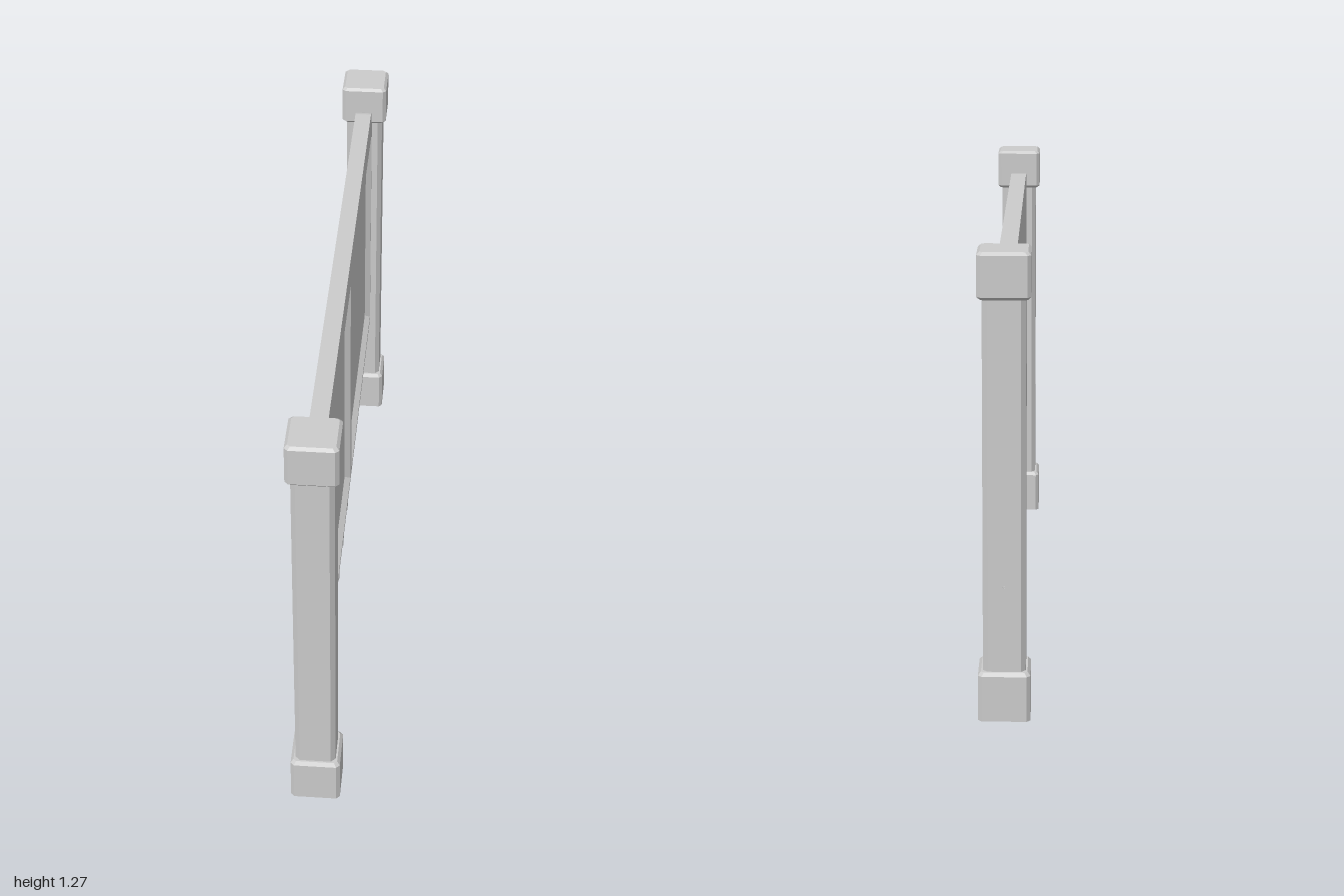
import * as THREE from 'three';

const material = new THREE.MeshStandardMaterial({ color: 0xcccccc, flatShading: true, side: THREE.DoubleSide });

function addMesh(parent, geometry, name) {
  const mesh = new THREE.Mesh(geometry, material);
  mesh.name = name;
  parent.add(mesh);
  return mesh;
}

// Skin a list of equal-length point rings, optionally closing the last and first ring
function loft(rings, capEnd = false, capStart = false) {
  const n = rings[0].length, index = [];
  for (let r = 0; r < rings.length - 1; r++) {
    for (let i = 0; i < n; i++) {
      const a = r * n + i, b = r * n + (i + 1) % n;
      index.push(a, a + n, b, b, a + n, b + n);
    }
  }
  const last = (rings.length - 1) * n;
  for (let i = 1; i < n - 1; i++) {
    if (capEnd) index.push(last, last + i + 1, last + i);
    if (capStart) index.push(0, i, i + 1);
  }
  const geometry = new THREE.BufferGeometry();
  geometry.setAttribute('position', new THREE.Float32BufferAttribute(rings.flat(2), 3));
  geometry.setIndex(index);
  const flat = geometry.toNonIndexed();
  flat.computeVertexNormals();
  return flat;
}

// Square ring with chamfered corners at height y
function ring(h, c, y) {
  const k = h - c;
  return [[h, -k], [h, k], [k, h], [-k, h], [-h, k], [-h, -k], [-k, -h], [k, -h]].map(([x, z]) => [x, y, z]);
}

// Rectangle outline in the panel's own plane
function rect(u0, u1, y0, y1, w) {
  return [[u0, y0, w], [u1, y0, w], [u1, y1, w], [u0, y1, w]];
}

function makePost(z) {
  const post = new THREE.Group();
  post.name = 'post';
  post.position.z = z;
  addMesh(post, loft([ring(0.057, 0.013, 0.1), ring(0.057, 0.013, 1.18)]), 'postShaft');
  addMesh(post, loft([ring(0.07, 0.01, 0), ring(0.07, 0.01, 0.127), ring(0.062, 0.008, 0.137)], true), 'postBase');
  addMesh(post, loft([ring(0.062, 0.008, 1.146), ring(0.07, 0.01, 1.154), ring(0.07, 0.01, 1.262),
    ring(0.062, 0.008, 1.27)], true, true), 'postCap');
  return post;
}

// Board outline with rounded top corners
function boardShape() {
  const h = 0.876, bottom = 0.37, top = 1.2, r = 0.055;
  const s = new THREE.Shape();
  s.moveTo(-h, bottom);
  s.lineTo(h, bottom);
  s.lineTo(h, top - r);
  s.absarc(h - r, top - r, r, 0, Math.PI / 2, false);
  s.lineTo(-h + r, top);
  s.absarc(-h + r, top - r, r, Math.PI / 2, Math.PI, false);
  s.closePath();
  return s;
}

function makeBoard() {
  const board = new THREE.Group();
  board.name = 'board';
  board.rotation.y = Math.PI / 2;
  const options = { bevelEnabled: false, curveSegments: 8 };
  const floor = 0.008, face = 0.025;
  const back = new THREE.ExtrudeGeometry(boardShape(), { ...options, depth: 0.025 + floor });
  addMesh(board, back.translate(0, 0, -0.025), 'backPanel');

  // Raised frame with two recesses whose edges slope inward
  const frame = boardShape();
  for (const [u0, u1] of [[-0.864, -0.021], [0.024, 0.864]]) {
    const y0 = 0.385, y1 = 1.105, inset = 0.012;
    const hole = rect(u0, u1, y0, y1, 0).map(([u, y]) => new THREE.Vector2(u, y));
    frame.holes.push(new THREE.Path(hole));
    addMesh(board, loft([
      rect(u0, u1, y0, y1, face),
      rect(u0 + inset, u1 - inset, y0 + inset, y1 - inset, floor),
    ]), 'recessEdge');
  }
  const front = new THREE.ExtrudeGeometry(frame, { ...options, depth: face - floor });
  addMesh(board, front.translate(0, 0, floor), 'frontFrame');
  return board;
}

function makeBunting() {
  const bunting = new THREE.Group();
  bunting.name = 'bunting';

  // Sagging cord, its far end just passing through the post
  const sag = z => 0.2 + 0.2 * z * z;
  const points = [];
  for (let i = 0; i <= 12; i++) {
    const z = 0.9 - i * 0.15;
    points.push(new THREE.Vector3(0, sag(z), z));
  }
  points.push(new THREE.Vector3(0, 0.375, -0.99));
  const cord = new THREE.CatmullRomCurve3(points);
  addMesh(bunting, new THREE.TubeGeometry(cord, 48, 0.004, 6), 'cord');

  // Pennants hanging square to the cord
  const triangle = new THREE.Shape([[-0.052, 0], [0, -0.115], [0.052, 0]].map(p => new THREE.Vector2(...p)));
  const flag = new THREE.ExtrudeGeometry(triangle, { depth: 0.004, bevelEnabled: false });
  flag.translate(0, 0, -0.002).rotateY(Math.PI / 2);
  for (let i = -5; i <= 5; i++) {
    const z = i * 0.164;
    const mesh = addMesh(bunting, flag, 'pennant');
    mesh.position.set(0, sag(z), z);
    mesh.rotation.x = -Math.atan(0.4 * z);
  }
  return bunting;
}

export function createModel() {
  const model = new THREE.Group();
  model.name = 'signBoard';
  model.add(makePost(0.93), makePost(-0.93), makeBoard(), makeBunting());
  return model;
}
